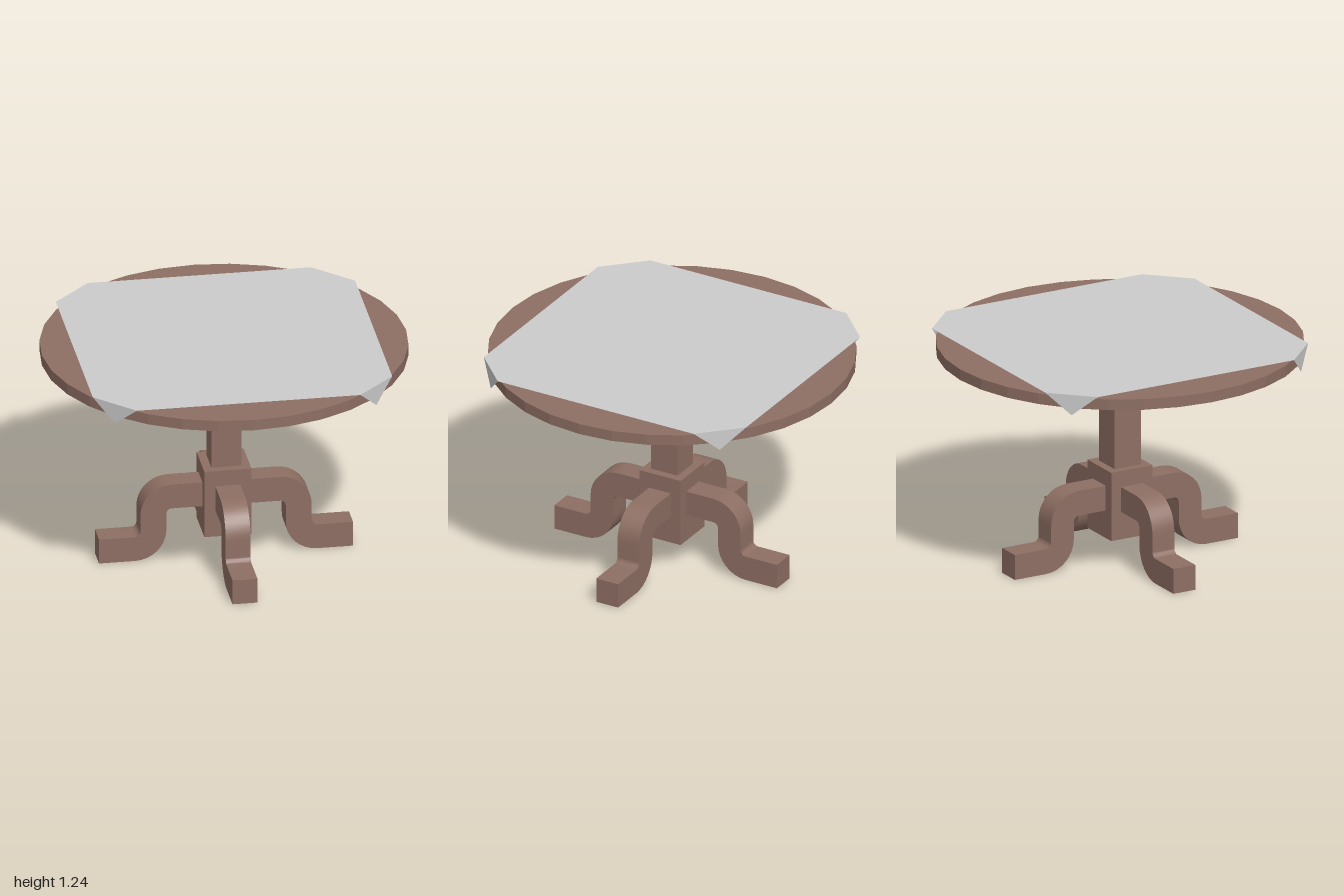
import * as THREE from 'three';
import { toCreasedNormals } from 'three/addons/utils/BufferGeometryUtils.js';

export function createModel() {
  const table = new THREE.Group();
  table.name = 'pedestalTable';
  const wood = new THREE.MeshStandardMaterial({ color: 0x8d6e63, flatShading: true });
  const curvedWood = new THREE.MeshStandardMaterial({ color: 0x8d6e63 });
  const clothMaterial = new THREE.MeshStandardMaterial({ color: 0xcccccc, side: THREE.DoubleSide });

  function add(name, geometry, material) {
    const mesh = new THREE.Mesh(geometry, material);
    mesh.name = name;
    table.add(mesh);
    return mesh;
  }

  // Upright prism between two heights
  function prism(name, radius, bottom, top, sides) {
    const geometry = new THREE.CylinderGeometry(radius, radius, top - bottom, sides);
    add(name, geometry, wood).position.y = (bottom + top) / 2;
  }
  prism('tabletop', 0.985, 1.16, 1.22, 32);
  prism('column', 0.115, 0.525, 1.16, 4);
  prism('baseBlock', 0.18, 0.14, 0.525, 4);

  // S-shaped legs, one on each face of the block
  const inner = 0.03, outer = 0.17;
  const kneeX = 0.293, kneeY = 0.265, ankleX = 0.493, ankleY = 0.17;
  const profile = new THREE.Shape();
  profile.moveTo(0.11, kneeY + inner);
  profile.lineTo(0.11, kneeY + outer);
  profile.absarc(kneeX, kneeY, outer, Math.PI / 2, 0, true);
  profile.absarc(ankleX, ankleY, inner, Math.PI, Math.PI * 1.5, false);
  profile.lineTo(0.687, ankleY - inner);
  profile.lineTo(0.687, 0);
  profile.absarc(ankleX, ankleY, outer, Math.PI * 1.5, Math.PI, true);
  profile.absarc(kneeX, kneeY, inner, 0, Math.PI / 2, false);
  const width = 0.135;
  const legGeometry = toCreasedNormals(
    new THREE.ExtrudeGeometry(profile, { depth: width, bevelEnabled: false, curveSegments: 4 })
      .translate(0, 0, -width / 2),
    0.7
  );
  for (let i = 0; i < 4; i++) {
    add('leg' + (i + 1), legGeometry, curvedWood).rotation.y = Math.PI / 4 + i * Math.PI / 2;
  }

  // Thin cloth: flat octagon with four hanging corners
  const half = 0.145, clothY = 1.24;
  const outline = new THREE.Shape([
    [half, 1], [1, half], [1, -half], [half, -1],
    [-half, -1], [-1, -half], [-1, half], [-half, 1],
  ].reverse().map(([x, y]) => new THREE.Vector2(x, y)));
  add('clothTop', new THREE.ShapeGeometry(outline).rotateX(-Math.PI / 2), clothMaterial).position.y = clothY;

  const corner = new THREE.ShapeGeometry(new THREE.Shape([
    new THREE.Vector2(-half, clothY), new THREE.Vector2(0, 1.125), new THREE.Vector2(half, clothY),
  ])).translate(0, 0, 1);
  for (let i = 0; i < 4; i++) {
    add('clothCorner' + (i + 1), corner, clothMaterial).rotation.y = i * Math.PI / 2;
  }

  return table;
}
